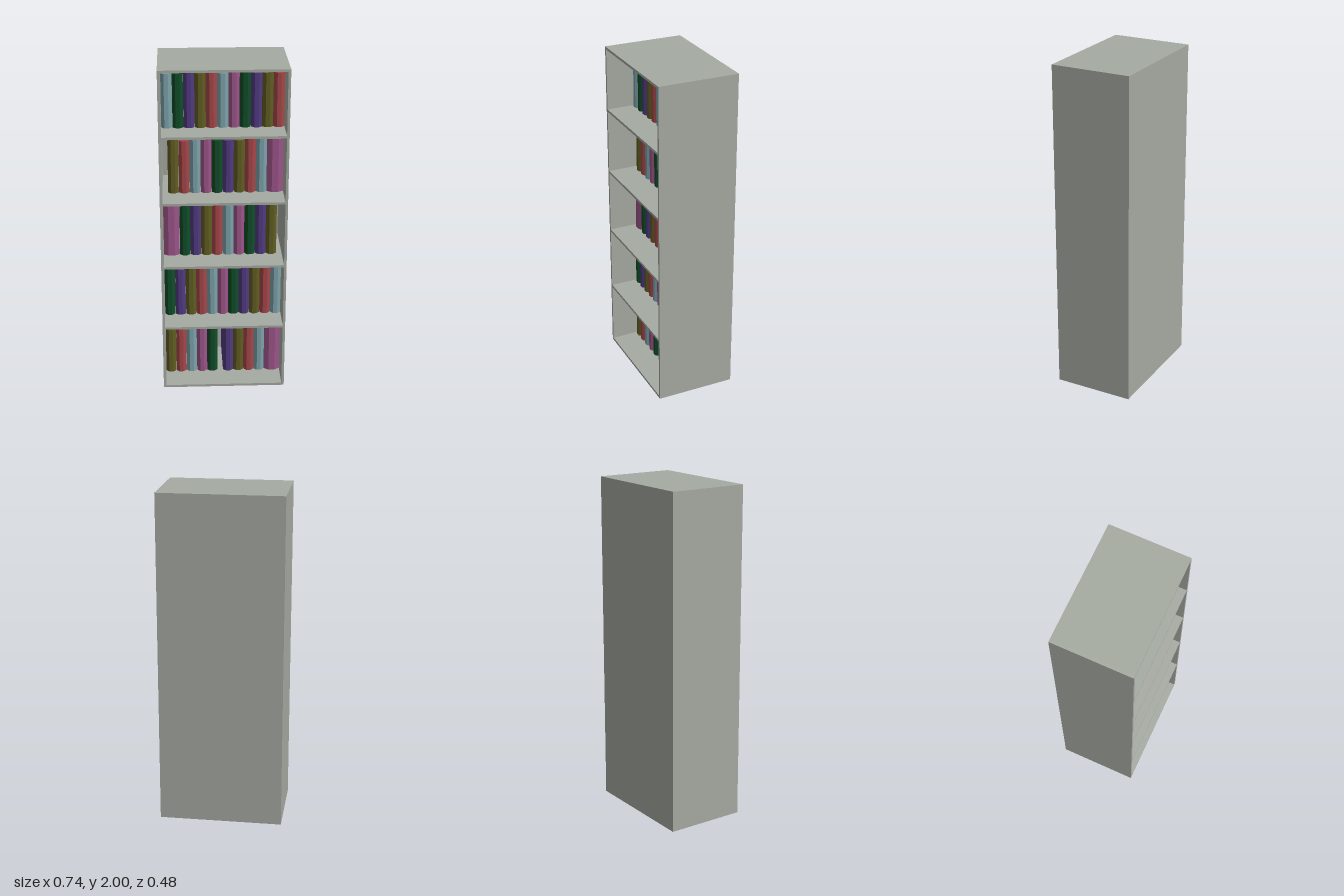
import * as THREE from 'three';

const W = 0.736, H = 2, D = 0.48, T = 0.015;
const PITCH = 0.0642;      // width of a regular book
const BACK = -D / 2 + T;   // inner face of the back panel

const paint = (name, color) => {
  const m = new THREE.MeshStandardMaterial({ color });
  m.name = name;
  return m;
};

// Book with a bevelled spine, standing on y = 0 with its left edge at x = 0
function bookGeometry(width, height) {
  const w = width - 0.001, c = width * 0.3, side = 0.062, front = 0.08;
  const outline = [[0.001, BACK], [w, BACK], [w, side], [w - c, front], [c, front], [0.001, side]];
  const shape = new THREE.Shape(outline.map(([x, z]) => new THREE.Vector2(x, -z)));
  const g = new THREE.ExtrudeGeometry(shape, { depth: height, bevelEnabled: false });
  return g.rotateX(-Math.PI / 2);
}

export function createModel() {
  const model = new THREE.Group();
  model.name = 'bookcase';
  const casing = paint('grey casing', 0xa5aaa1);
  const covers = {
    B: paint('pale blue cover', 0x7ba2aa),
    G: paint('green cover', 0x104c28),
    V: paint('violet cover', 0x4f3a80),
    O: paint('olive cover', 0x605c22),
    R: paint('red cover', 0xa54648),
    P: paint('pink cover', 0x9c5488),
  };

  const panel = (name, w, h, d, x, y, z) => {
    const m = new THREE.Mesh(new THREE.BoxGeometry(w, h, d), casing);
    m.name = name;
    m.position.set(x, y, z);
    model.add(m);
  };

  // Casing
  panel('leftSide', T, H, D, W / 2 - T / 2, H / 2, 0);
  panel('rightSide', T, H, D, -W / 2 + T / 2, H / 2, 0);
  panel('backPanel', W - 2 * T, H, T, 0, H / 2, -D / 2 + T / 2);
  panel('topPanel', W - 2 * T, T, D - T, 0, H - T / 2, T / 2);

  // Rows from bottom to top: cover letter and height step, lower case = wide book, _ = gap
  const rows = [
    'O0 R0 B0 P0 G0 _ V0 O0 R0 B0 p0',
    'G1 V0 O0 R0 B0 P0 G0 V1 O1 R0 B2',
    'p2 G1 V2 O0 R1 B0 P2 G1 V0 O0 _',
    '_ O1 R0 B2 P1 G0 V0 O0 R1 B1 p2',
    'B0 G1 V2 O0 R1 B0 P2 G1 V0 O0 R0',
  ];
  rows.forEach((row, i) => {
    const base = i * 0.4 + T;
    panel('shelf', W - 2 * T, T, D - T, 0, base - T / 2, T / 2);

    const books = new THREE.Group();
    books.name = 'bookRow';
    let x = -W / 2 + T;
    for (const [letter, step] of row.split(' ')) {
      if (letter === '_') {
        x += PITCH / 2;
        continue;
      }
      const key = letter.toUpperCase();
      const width = letter === key ? PITCH : PITCH * 1.5;
      const book = new THREE.Mesh(bookGeometry(width, 0.32 + 0.016 * Number(step)), covers[key]);
      book.name = 'book';
      book.position.set(x, base, 0);
      books.add(book);
      x += width;
    }
    model.add(books);
  });
  return model;
}
